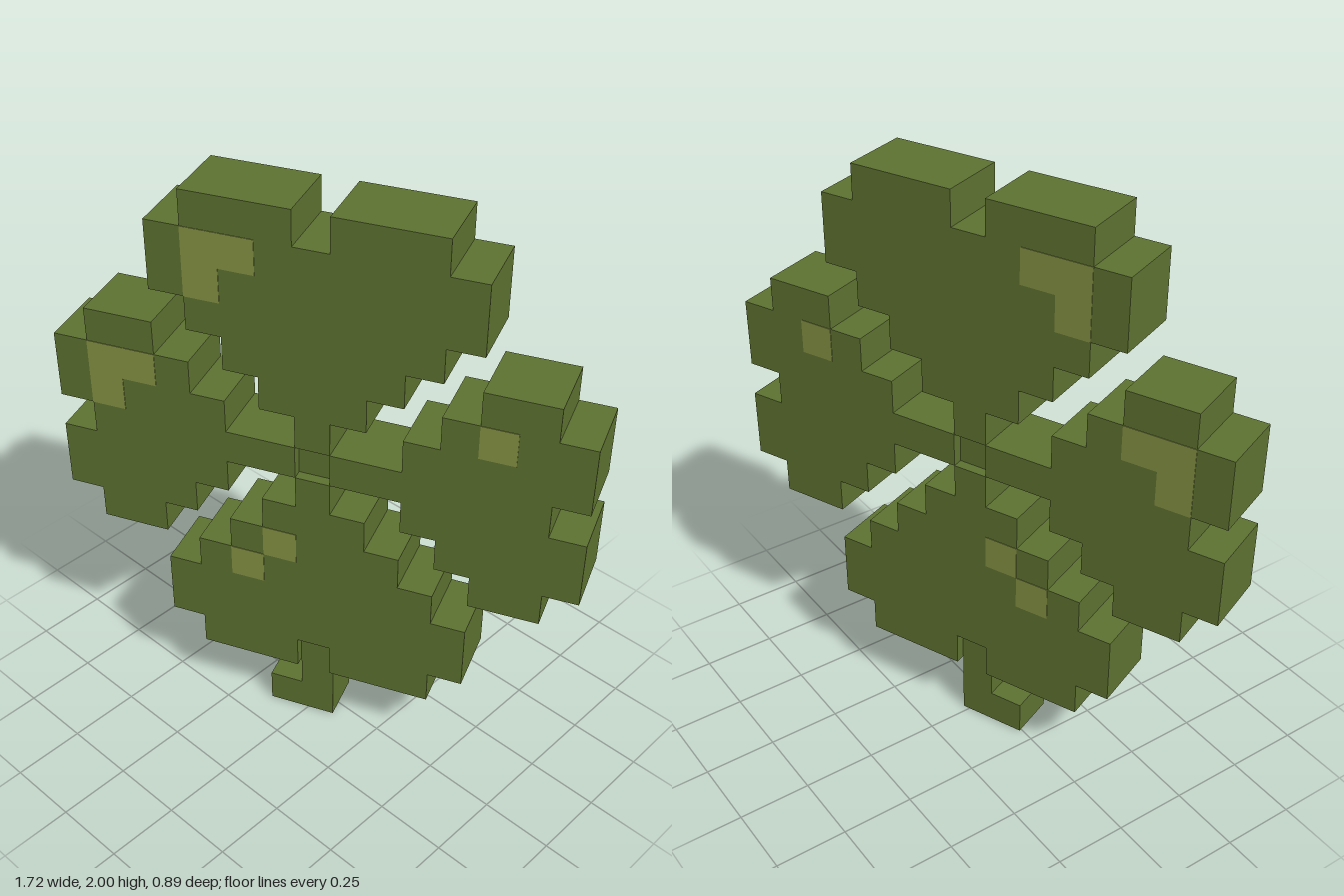
import * as THREE from 'three';

const U = 2 / 17;          // one block
const MID = 9.5;           // row height of the clover's heart, in blocks
const DEPTH = 2 * U;       // leaf thickness
const THIN = 1.4 * U;      // stem and heart thickness

// Stepped leaf outline growing along +y, with a one-block notch in its outer edge
function leafGeometry(halfWidths) {
  const right = [];
  halfWidths.forEach((w, i) => right.push([w, i + 0.5], [w, i + 1.5]));
  const tip = halfWidths.length + 0.5;
  right.push([0.5, tip], [0.5, tip - 1]);
  const outline = [...right, ...right.map(([x, y]) => [-x, y]).reverse()];
  // drop repeated corners
  const points = outline
    .filter(([x, y], i) => i === 0 || x !== outline[i - 1][0] || y !== outline[i - 1][1])
    .map(([x, y]) => new THREE.Vector2(x * U, y * U));
  const geometry = new THREE.ExtrudeGeometry(new THREE.Shape(points), { depth: DEPTH, bevelEnabled: false });
  return geometry.translate(0, 0, -DEPTH / 2);
}

export function createModel() {
  const green = new THREE.MeshStandardMaterial({ color: 0x5e7231 });
  green.name = 'leafGreen';
  const light = new THREE.MeshStandardMaterial({ color: 0x869244 });
  light.name = 'highlightGreen';

  const model = new THREE.Group();
  model.name = 'clover';
  model.rotation.y = Math.PI / 8;

  const add = (name, geometry, material) => {
    const mesh = new THREE.Mesh(geometry, material);
    mesh.name = name;
    model.add(mesh);
    return mesh;
  };
  // Box spanning whole blocks; columns are centred on 0, rows count up from the ground
  const block = (name, col, row, cols, rows, depth, z, material) =>
    add(name, new THREE.BoxGeometry(cols * U, rows * U, depth), material)
      .position.set((col + (cols - 1) / 2) * U, (row + rows / 2) * U, z);

  // Four leaves: tall pair and narrower side pair
  const tall = leafGeometry([0.5, 1.5, 2.5, 3.5, 4.5, 4.5, 3.5]);
  const side = leafGeometry([0.5, 0.5, 1.5, 2.5, 3.5, 3.5, 2.5]);
  ['topLeaf', 'rightLeaf', 'bottomLeaf', 'leftLeaf'].forEach((name, i) => {
    const leaf = add(name, i % 2 ? side : tall, green);
    leaf.position.y = MID * U;
    leaf.rotation.z = i * Math.PI / 2;
  });

  // Recessed heart and hooked stem
  block('heart', 0, 9, 1, 1, THIN, 0, green);
  block('stem', 0, 1, 1, 2, THIN, 0, green);
  block('stemFoot', -1, 0, 2, 1, THIN, 0, green);

  // Highlights on both faces: [column, row, columns]
  const spots = [[-3, 15, 2], [-3, 14, 1], [-6, 11, 2], [-6, 10, 1], [5, 11, 1], [-1, 6, 1], [-2, 5, 1]];
  for (const face of [1, -1]) {
    for (const [col, row, cols] of spots) {
      block('leafHighlight', col, row, cols, 1, 0.004, face * DEPTH / 2, light);
    }
  }

  const group = new THREE.Group();
  group.add(model);
  return group;
}
